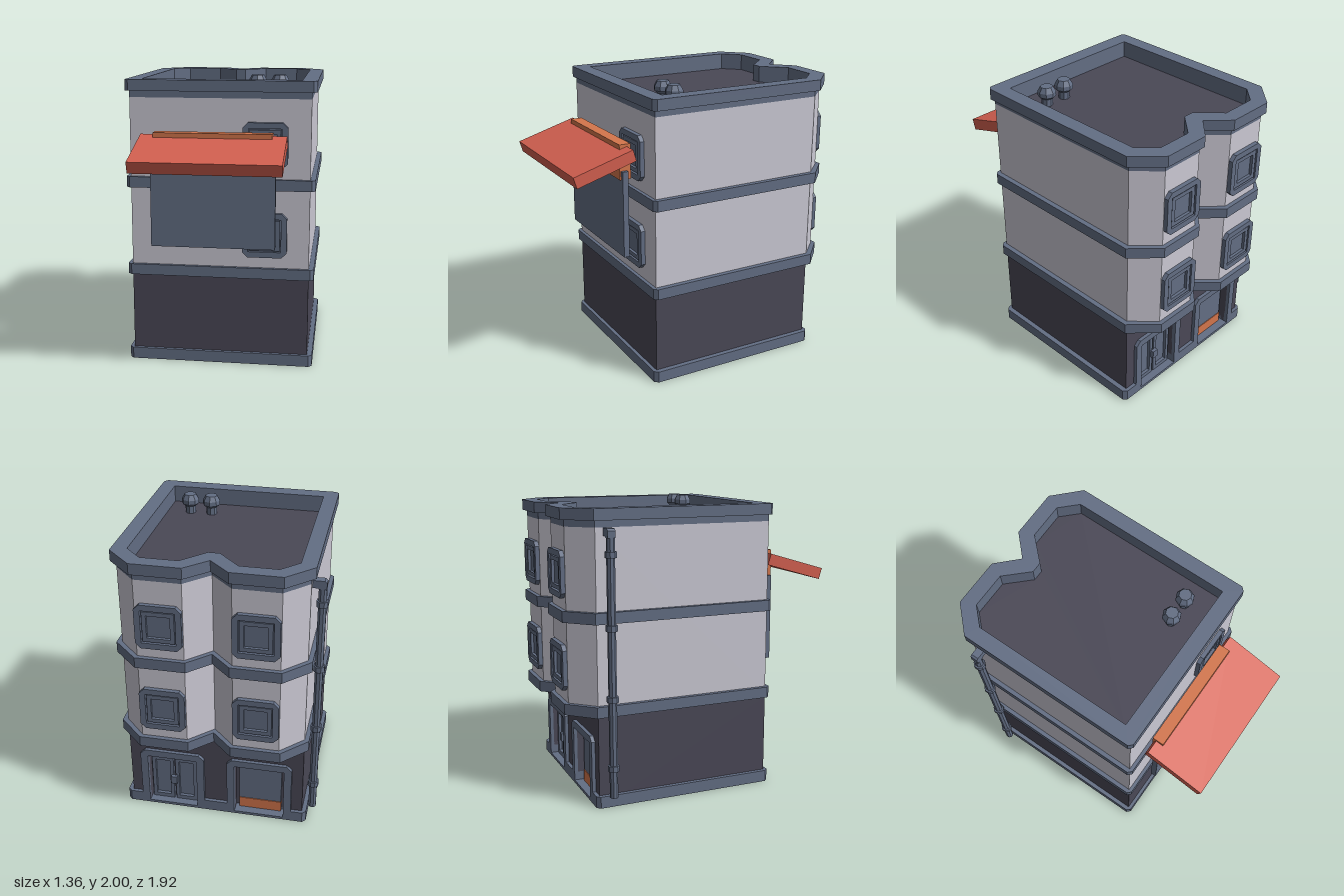
import * as THREE from 'three';

const mat = (name, color) => {
  const m = new THREE.MeshStandardMaterial({ color });
  m.name = name;
  return m;
};

// Faceted copy of a geometry
const faceted = (g) => {
  const f = g.index ? g.toNonIndexed() : g;
  f.computeVertexNormals();
  return f;
};

const toShape = (pts) => new THREE.Shape(pts.map(([a, b]) => new THREE.Vector2(a, b)));

// Upright prism from a floor-plan outline [x, z], with optional hole
function prism(outline, y0, y1, hole) {
  const flip = (pts) => toShape(pts.map(([x, z]) => [x, -z]));
  const s = flip(outline);
  if (hole) s.holes.push(flip(hole));
  return new THREE.ExtrudeGeometry(s, { depth: y1 - y0, bevelEnabled: false })
    .rotateX(-Math.PI / 2).translate(0, y0, 0);
}

// Plate facing +z from an outline [x, y], with optional hole
function plate(outline, z0, z1, hole) {
  const s = toShape(outline);
  if (hole) s.holes.push(toShape(hole));
  return new THREE.ExtrudeGeometry(s, { depth: z1 - z0, bevelEnabled: false }).translate(0, 0, z0);
}

// Rectangle centred on the origin with cut corners
const cutRect = (w, h, c) => [[-w + c, -h], [w - c, -h], [w, -h + c], [w, h - c],
  [w - c, h], [-w + c, h], [-w, h - c], [-w, -h + c]];
const rect = (w, h) => [[-w, -h], [w, -h], [w, h], [-w, h]];

export function createModel() {
  const wall = mat('paleWall', 0xcbc9d4);
  const slate = mat('slateTrim', 0x636e84);
  const dark = mat('darkWall', 0x4a4856);
  const red = mat('redAwning', 0xd36050);
  const orange = mat('orangeTrim', 0xd4764c);

  const model = new THREE.Group();
  model.name = 'building';
  const add = (name, geo, material, parent = model) => {
    const m = new THREE.Mesh(geo, material);
    m.name = name;
    parent.add(m);
    return m;
  };
  const box = (name, x0, x1, y0, y1, z0, z1, material, parent) =>
    add(name, new THREE.BoxGeometry(x1 - x0, y1 - y0, z1 - z0)
      .translate((x0 + x1) / 2, (y0 + y1) / 2, (z0 + z1) / 2), material, parent);

  // Floor plans of upper storeys: two bays with a V notch at the back
  const wallPlan = [[-0.585, 0.465], [0.645, 0.465], [0.645, -0.775], [0.495, -0.93], [0.185, -0.93],
    [0.03, -0.775], [-0.125, -0.93], [-0.435, -0.93], [-0.585, -0.775]];
  const bandPlan = [[-0.615, 0.465], [-0.59, 0.49], [0.655, 0.49], [0.68, 0.465], [0.68, -0.79],
    [0.507, -0.96], [0.173, -0.96], [0.03, -0.82], [-0.112, -0.96], [-0.447, -0.96], [-0.615, -0.79]];
  const roofPlan = [[-0.513, 0.38], [0.577, 0.38], [0.577, -0.746], [0.465, -0.86], [0.217, -0.86],
    [0.07, -0.705], [-0.005, -0.705], [-0.153, -0.86], [-0.402, -0.86], [-0.513, -0.746]];

  add('upperWalls', prism(wallPlan, 0.66, 1.86), wall);
  add('lowerBand', prism(bandPlan, 0.625, 0.7), slate);
  add('middleBand', prism(bandPlan, 1.245, 1.32), slate);
  add('parapetNeck', prism(wallPlan, 1.86, 1.905, roofPlan), slate);
  add('parapetCap', prism(bandPlan, 1.905, 1.98, roofPlan), slate);
  add('roofDeck', prism(roofPlan, 1.858, 1.864), dark);

  // Ground storey with two openings in the back wall
  const openings = [0.34, -0.28];
  const half = 0.175, top = 0.415, back = -0.775, inner = -0.715;
  box('groundWalls', -0.585, 0.645, 0.02, 0.625, inner, 0.465, dark);
  const facade = [[-0.585, 0.02], [-0.585, 0.625], [0.645, 0.625], [0.645, 0.02]];
  const base = [[0.68, -0.775], [0.655, -0.8]];
  for (const x of openings) {
    facade.push([x + half, 0.02], [x + half, top], [x - half, top], [x - half, 0.02]);
    base.push([x + half, -0.8], [x + half, inner], [x - half, inner], [x - half, -0.8]);
  }
  base.push([-0.59, -0.8], [-0.615, -0.775]);
  const front = [[-0.615, 0.465], [-0.59, 0.49], [0.655, 0.49], [0.68, 0.465]];
  add('backFacade', plate(facade, back, inner), dark);
  add('basePlinth', prism([...front, ...base], 0, 0.08), slate);
  for (const x of openings) box('threshold', x - half, x + half, 0, 0.02, -0.8, inner, slate);

  // Group facing the back, standing on the ground
  const backGroup = (name, x, y, z) => {
    const g = new THREE.Group();
    g.name = name;
    g.position.set(x, y, z);
    g.rotation.y = Math.PI;
    model.add(g);
    return g;
  };
  const surround = [[-0.228, 0], [-0.228, 0.43], [-0.193, 0.465], [0.193, 0.465], [0.228, 0.43], [0.228, 0],
    [half, 0], [half, top], [-half, top], [-half, 0]];

  // Double door
  const door = backGroup('doubleDoor', openings[0], 0, inner);
  add('doorSurround', plate(surround, 0.055, 0.085), slate, door);
  for (const s of [-1, 1]) {
    const leaf = new THREE.Group();
    leaf.name = 'doorLeaf';
    leaf.position.set(s * 0.085, 0.2, 0);
    door.add(leaf);
    add('leafFrame', plate(rect(0.078, 0.18), 0, 0.03, rect(0.052, 0.15)), slate, leaf);
    add('leafPanel', plate(rect(0.052, 0.15), 0, 0.008), slate, leaf);
    box('doorHandle', -s * 0.075 - 0.012, -s * 0.075 + 0.012, -0.03, 0.03, 0.03, 0.055, slate, leaf);
  }

  // Shop window
  const shop = backGroup('shopWindow', openings[1], 0, inner);
  add('shopSurround', plate(surround, 0.055, 0.085), slate, shop);
  box('shopPane', -0.15, 0.15, 0.1, 0.375, 0, 0.02, slate, shop);
  box('shopSill', -0.15, 0.15, 0.02, 0.1, 0, 0.025, orange, shop);

  // Framed windows: four on the back bays, two on the front
  const addWindow = (x, y, z, turned) => {
    const g = backGroup('window', x, y, z);
    if (!turned) g.rotation.y = 0;
    add('windowSurround', plate(cutRect(0.153, 0.154, 0.035), 0, 0.03, rect(0.113, 0.114)), slate, g);
    add('windowSash', plate(rect(0.105, 0.106), 0, 0.024, rect(0.077, 0.078)), slate, g);
    add('windowPane', plate(rect(0.113, 0.114), 0, 0.004), slate, g);
  };
  for (const y of [0.933, 1.55]) {
    addWindow(0.34, y, 0.465, false);
    for (const x of openings) addWindow(x, y, -0.93, true);
  }

  // Awning, its rail and the hanging board
  const awning = add('awning', new THREE.BoxGeometry(0.985, 0.08, 0.437), red);
  awning.position.set(-0.002, 1.523, 0.74);
  awning.rotation.x = 0.288;
  box('awningRail', -0.4, 0.395, 1.4, 1.64, 0.515, 0.595, orange);
  box('hangingBoard', -0.425, 0.42, 0.86, 1.46, 0.545, 0.585, slate);

  // Drainpipe with elbow and collars
  const pipe = new THREE.Group();
  pipe.name = 'drainpipe';
  pipe.position.set(-0.648, 0, -0.695);
  model.add(pipe);
  const tube = (name, r, y0, y1) => add(name,
    faceted(new THREE.CylinderGeometry(r, r, y1 - y0, 8).rotateY(Math.PI / 8)
      .translate(0, (y0 + y1) / 2, 0)), slate, pipe);
  tube('pipeShaft', 0.028, 0.08, 1.835);
  for (const y of [0.285, 0.755, 1.225, 1.695]) tube('pipeCollar', 0.039, y - 0.02, y + 0.02);
  const elbow = [[-0.026, 1.8], [-0.026, 1.845], [-0.012, 1.858], [0.07, 1.858], [0.07, 1.807], [0.026, 1.807], [0.026, 1.8]];
  add('pipeElbow', plate(elbow, -0.026, 0.026), slate, pipe);

  // Roof vents
  const ventProfile = [[0.038, 1.86], [0.038, 1.915], [0.062, 1.935], [0.062, 1.965], [0.042, 2], [0, 2]]
    .map(([r, y]) => new THREE.Vector2(r, y));
  for (const x of [0.26, 0.413]) {
    add('roofVent', faceted(new THREE.LatheGeometry(ventProfile, 8)), slate).position.set(x, 0, 0.2);
  }

  return model;
}
